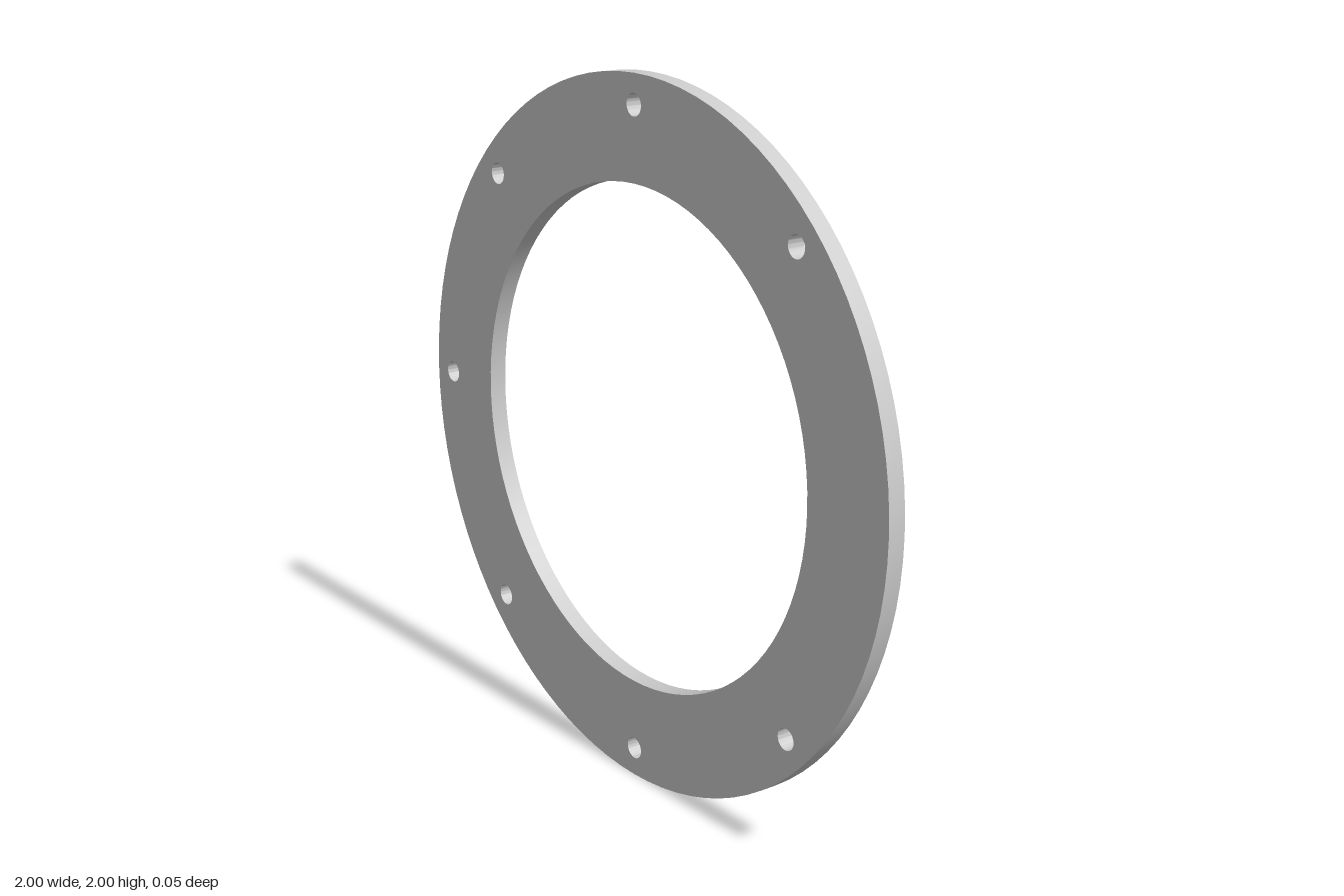
import * as THREE from 'three';
import { toCreasedNormals } from 'three/addons/utils/BufferGeometryUtils.js';

const OUTER = 1, INNER = 0.71, THICKNESS = 0.052;
const BOLT_CIRCLE = 0.917, BOLT_HOLE = 0.031;

function circle(PathType, x, y, radius) {
  const path = new PathType();
  path.absarc(x, y, radius, 0, Math.PI * 2, false);
  return path;
}

export function createModel() {
  const model = new THREE.Group();
  model.name = 'flangeRing';

  // Flat ring with a large central opening
  const outline = circle(THREE.Shape, 0, 0, OUTER);
  outline.holes.push(circle(THREE.Path, 0, 0, INNER));

  // Seven bolt holes at 45 degree steps; the +x position stays solid
  for (let i = 1; i < 8; i++) {
    const a = i * Math.PI / 4;
    outline.holes.push(circle(THREE.Path, BOLT_CIRCLE * Math.cos(a), BOLT_CIRCLE * Math.sin(a), BOLT_HOLE));
  }

  const extruded = new THREE.ExtrudeGeometry(outline, { depth: THICKNESS, bevelEnabled: false, curveSegments: 48 });
  extruded.translate(0, OUTER, -THICKNESS / 2);

  // Smooth round walls, sharp rims
  const ring = new THREE.Mesh(
    toCreasedNormals(extruded, 0.6),
    new THREE.MeshStandardMaterial({ color: 0xcccccc })
  );
  ring.name = 'ringPlate';
  model.add(ring);
  return model;
}
